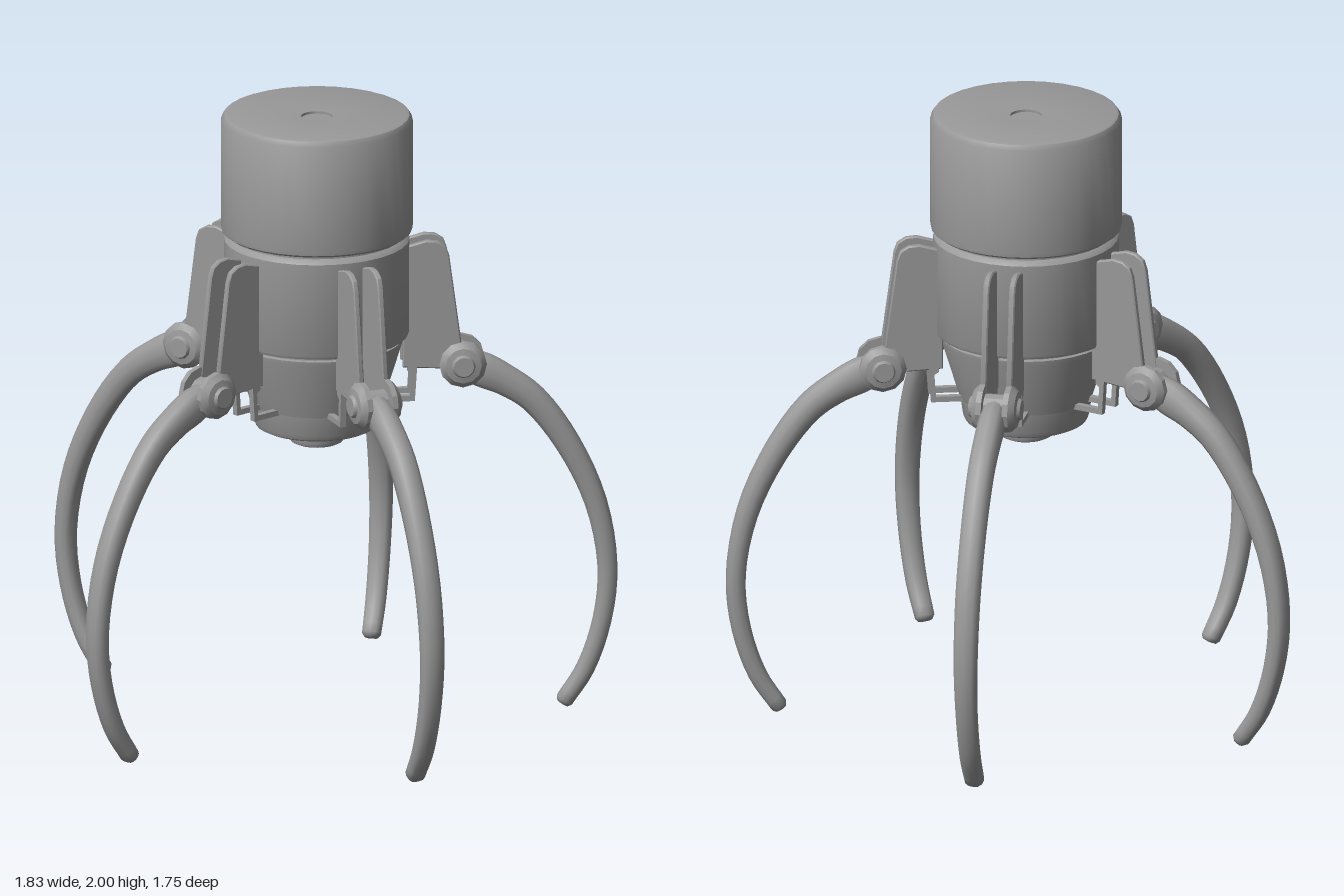
import * as THREE from 'three';
import { toCreasedNormals } from 'three/addons/utils/BufferGeometryUtils.js';

const metal = new THREE.MeshStandardMaterial({ color: 0x999999 });
metal.name = 'grey metal';

function part(name, geometry, crease = 0.6) {
  const mesh = new THREE.Mesh(toCreasedNormals(geometry, crease), metal);
  mesh.name = name;
  return mesh;
}

// Profile of [radius, height] pairs, listed from bottom to top
const turned = (profile, sides) =>
  new THREE.LatheGeometry(profile.map(([r, y]) => new THREE.Vector2(r, y)), sides);

// Flat outline of [radius, height] pairs, given thickness along z
function plate(outline, thickness, bevel = 0) {
  const shape = new THREE.Shape(outline.map(([r, y]) => new THREE.Vector2(r, y)));
  const geo = new THREE.ExtrudeGeometry(shape, {
    depth: thickness - 2 * bevel, bevelEnabled: bevel > 0, bevelSize: bevel,
    bevelThickness: bevel, bevelOffset: -bevel, bevelSegments: 1,
  });
  return geo.translate(0, 0, bevel - thickness / 2);
}

// Curved claw: stations are [radius, height, half thickness, half width]
function clawGeometry() {
  const stations = [
    [0.46, 1.16, 0.045, 0.034], [0.53, 1.13, 0.058, 0.042], [0.60, 1.095, 0.051, 0.043],
    [0.69, 1.03, 0.046, 0.043], [0.80, 0.88, 0.041, 0.042], [0.89, 0.68, 0.036, 0.041],
    [0.927, 0.466, 0.032, 0.039], [0.91, 0.29, 0.031, 0.036], [0.857, 0.13, 0.03, 0.034],
    [0.79, 0.025, 0.028, 0.031],
  ];
  const path = new THREE.CatmullRomCurve3(stations.map(s => new THREE.Vector3(s[0], s[1], 0)));
  const size = new THREE.CatmullRomCurve3(stations.map(s => new THREE.Vector3(s[2], s[3], 0)));
  const steps = 36, sides = 12;
  const rings = [[0, 0, 0]];
  for (let i = 0; i <= steps; i++) rings.push([i / steps, 1, 0]);
  rings.push([1, 0.72, 0.012], [1, 0, 0.015]);

  const pos = [], index = [];
  rings.forEach(([t, scale, push], i) => {
    const tan = path.getTangent(t);
    const c = path.getPoint(t).addScaledVector(tan, push);
    const s = size.getPoint(t).multiplyScalar(scale);
    for (let j = 0; j < sides; j++) {
      const a = (j / sides) * Math.PI * 2;
      // Slightly squared oval section
      const u = Math.sign(Math.cos(a)) * Math.abs(Math.cos(a)) ** 0.8 * s.x;
      const v = Math.sign(Math.sin(a)) * Math.abs(Math.sin(a)) ** 0.8 * s.y;
      pos.push(c.x + tan.y * u, c.y - tan.x * u, v);
      if (i === rings.length - 1) continue;
      const k = (j + 1) % sides, p = i * sides, q = p + sides;
      index.push(p + j, q + j, p + k, q + j, q + k, p + k);
    }
  });
  const geo = new THREE.BufferGeometry();
  geo.setAttribute('position', new THREE.Float32BufferAttribute(pos, 3));
  geo.setIndex(index);
  return geo;
}

function createArm() {
  const arm = new THREE.Group();
  arm.name = 'clawArm';
  arm.add(part('claw', clawGeometry(), 0.9));

  // Hinge pin with a domed cap on each side
  const hinge = turned([
    [0, -0.084], [0.032, -0.084], [0.038, -0.074], [0.058, -0.07], [0.076, -0.052], [0.076, -0.034],
    [0.045, -0.034], [0.045, 0.034], [0.076, 0.034], [0.076, 0.052], [0.058, 0.07],
    [0.038, 0.074], [0.032, 0.084], [0, 0.084],
  ], 12).rotateX(Math.PI / 2).translate(0.462, 1.165, 0);
  arm.add(part('hinge', hinge, 0.5));

  for (const side of [-1, 1]) {
    // Upright bracket plate holding the hinge
    const bracket = part('bracketPlate', plate([
      [0.27, 1.16], [0.45, 1.15], [0.462, 1.2], [0.418, 1.53],
      [0.407, 1.56], [0.38, 1.577], [0.345, 1.58], [0.31, 1.57], [0.27, 1.56],
    ], 0.02, 0.004));
    bracket.position.z = side * 0.042;
    // Thin clip that hooks back under the body
    const clip = part('clip', plate([
      [0.2, 1.048], [0.308, 1.048], [0.316, 1.17], [0.284, 1.17], [0.284, 1.15],
      [0.298, 1.14], [0.293, 1.066], [0.2, 1.066],
    ], 0.02));
    clip.position.z = side * 0.042;
    arm.add(bracket, clip);
  }
  return arm;
}

export function createModel() {
  const model = new THREE.Group();
  model.name = 'grabberClaw';
  const centred = new THREE.Group();
  centred.name = 'grabber';
  centred.position.set(-0.005, 0, 0.095);
  model.add(centred);

  // Upper drum with a small recess in its lid
  centred.add(part('upperDrum', turned([
    [0, 1.61], [0.292, 1.61], [0.303, 1.618], [0.305, 1.63], [0.305, 1.98], [0.295, 1.996],
    [0.285, 2], [0.05, 1.99], [0.05, 1.982], [0, 1.982],
  ], 32)));
  // Lower housing: groove, cylinder, seam and taper
  centred.add(part('lowerHousing', turned([
    [0, 1.05], [0.213, 1.05], [0.272, 1.24], [0.274, 1.255], [0.264, 1.258], [0.264, 1.266],
    [0.29, 1.27], [0.295, 1.28], [0.295, 1.585], [0.285, 1.597], [0.278, 1.6], [0.278, 1.615], [0, 1.615],
  ], 32)));
  centred.add(part('baseCollar', turned([
    [0, 0.962], [0.178, 0.962], [0.194, 0.97], [0.201, 0.985], [0.212, 1.06], [0.205, 1.068], [0, 1.068],
  ], 32)));
  centred.add(part('bottomKnob', turned([
    [0, 0.908], [0.072, 0.908], [0.084, 0.914], [0.089, 0.926], [0.089, 0.945],
    [0.08, 0.953], [0.074, 0.965], [0, 0.965],
  ], 24)));

  // Five arms spaced evenly, one pointing straight back
  for (let i = 0; i < 5; i++) {
    const arm = createArm();
    arm.rotation.y = Math.PI / 2 + (i * Math.PI * 2) / 5;
    centred.add(arm);
  }
  return model;
}
